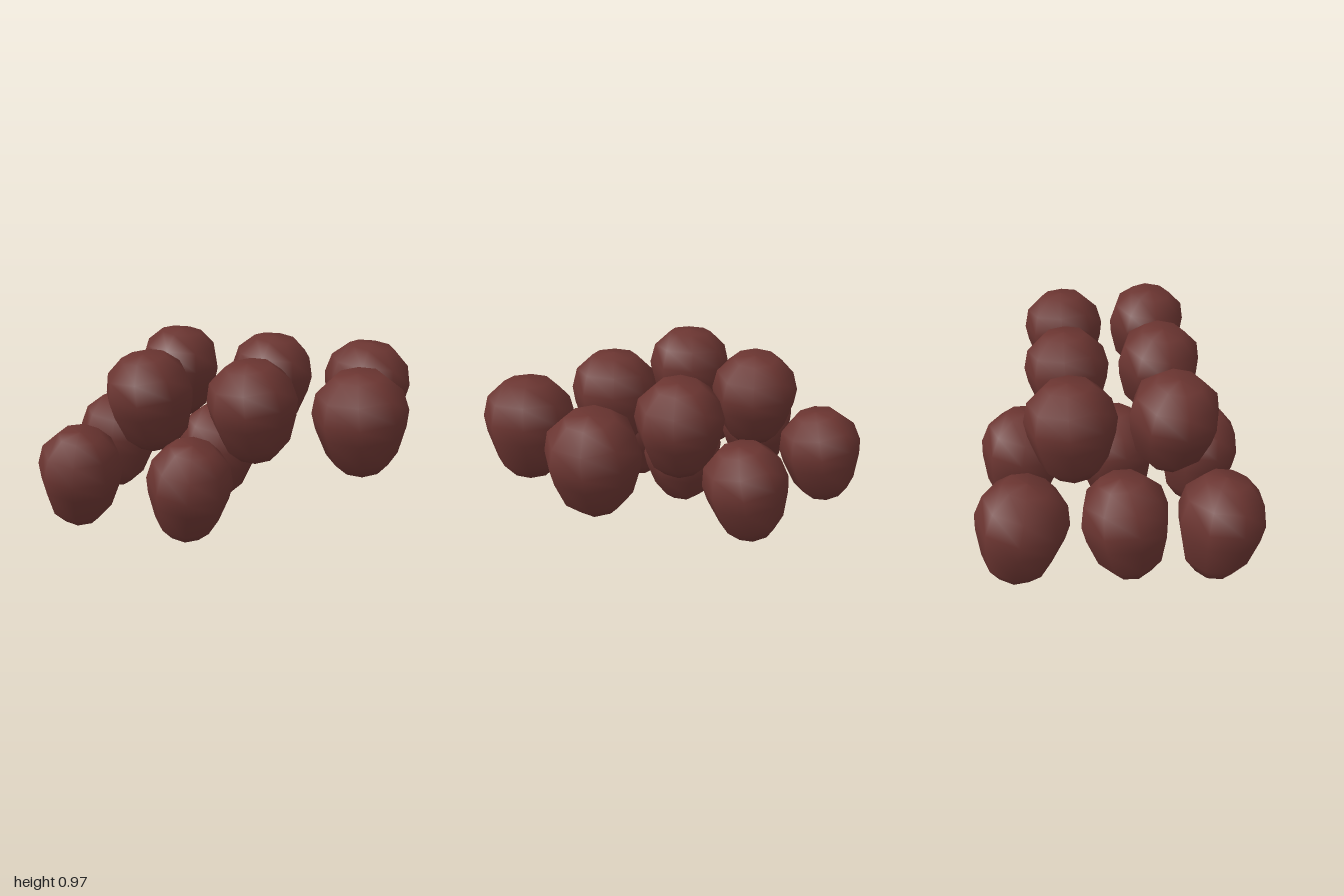
import * as THREE from 'three';

// Rounded lump, wide above and tapering down: radius and height, centred on y = 0
const profile = [
  [0, -0.265], [0.11, -0.262], [0.185, -0.18], [0.232, -0.03],
  [0.246, 0.06], [0.218, 0.17], [0.125, 0.255], [0, 0.268],
].map(([r, y]) => new THREE.Vector2(r, y));

// One entry per row: x of each lump, centre y and z, width and height scale,
// lean of the axis (top minus bottom in x and z), and yaw of the octagon
const rows = [
  { name: 'upperFront', xs: [-0.405, 0.18, 0.75], y: 0.7, z: 0.31, w: 1, h: 1, lean: [-0.05, 0.04], yaw: 0.13 },
  { name: 'upperBack', xs: [-0.435, 0.147, 0.71], y: 0.7, z: -0.23, w: 1, h: 1, lean: [0.04, -0.02], yaw: -0.04 },
  { name: 'lowerFront', xs: [-0.765, -0.117], y: 0.284, z: 0.517, w: 0.95, h: 1.05, lean: [0.07, 0.05], yaw: 0.3 },
  { name: 'lowerMiddle', xs: [-0.757, -0.11], y: 0.31, z: 0.03, w: 0.96, h: 1.04, lean: [0.07, -0.06], yaw: 0.24 },
  { name: 'lowerBack', xs: [-0.757, -0.11], y: 0.32, z: -0.51, w: 0.99, h: 1.03, lean: [0.05, 0.1], yaw: -0.03 },
];

export function createModel() {
  const model = new THREE.Group();
  model.name = 'lumpPile';
  const material = new THREE.MeshStandardMaterial({ color: 0x6b3531 });
  const lump = new THREE.LatheGeometry(profile, 8);
  const up = new THREE.Vector3(0, 1, 0);

  for (const { name, xs, y, z, w, h, lean, yaw } of rows) {
    const axis = new THREE.Vector3(lean[0], 0.54, lean[1]).normalize();
    const tilt = new THREE.Quaternion().setFromUnitVectors(up, axis);
    const turn = new THREE.Quaternion().setFromAxisAngle(up, yaw);
    xs.forEach((x, i) => {
      const mesh = new THREE.Mesh(lump, material);
      mesh.name = `${name}Lump${i + 1}`;
      mesh.position.set(x, y, z);
      mesh.quaternion.copy(tilt).multiply(turn);
      mesh.scale.set(w, h, w);
      model.add(mesh);
    });
  }
  return model;
}
